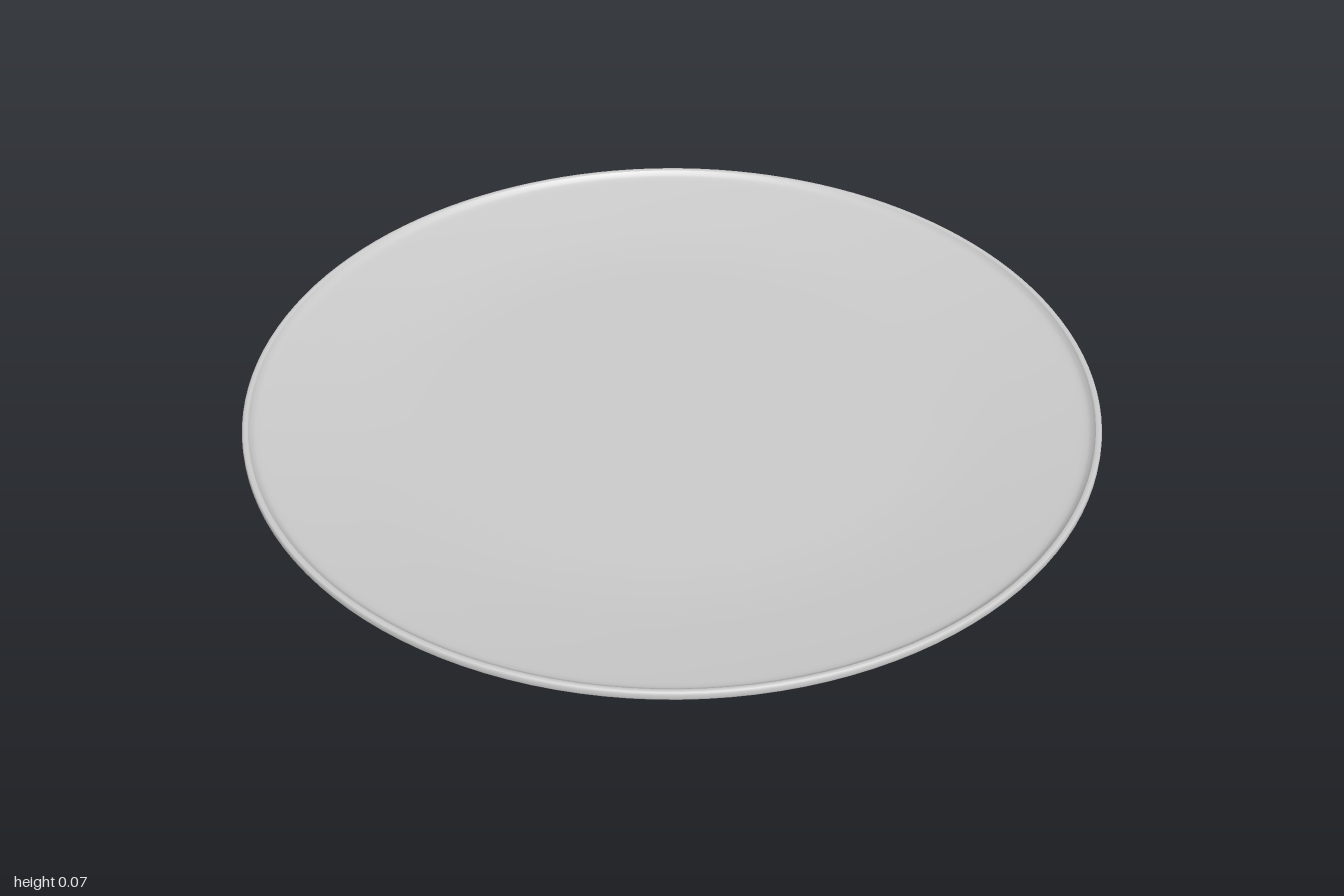
import * as THREE from 'three';
import { toCreasedNormals } from 'three/addons/utils/BufferGeometryUtils.js';

const material = new THREE.MeshStandardMaterial({ color: 0xcccccc, side: THREE.DoubleSide });
const points = (list) => list.map(([r, y]) => new THREE.Vector2(r, y));

// Turns a profile (radius, height) into a round part
function turned(name, profile, crease) {
  let geometry = new THREE.LatheGeometry(profile, 128);
  if (crease) geometry = toCreasedNormals(geometry, crease);
  const mesh = new THREE.Mesh(geometry, material);
  mesh.name = name;
  return mesh;
}

export function createModel() {
  const plate = new THREE.Group();
  plate.name = 'plate';

  // Flat base with a shallow step, then the sloping underside
  plate.add(turned('underside', points([
    [0, 0], [0.655, 0], [0.662, 0.006], [0.99, 0.05],
  ]), 0.3));

  // Upright rim with rounded edges
  plate.add(turned('rim', points([
    [0.99, 0.05], [0.998, 0.053], [1, 0.057], [1, 0.067], [0.997, 0.071], [0.991, 0.072], [0.986, 0.07],
  ])));

  // Inside: flat well, gentle rise, then the small lip
  const inside = new THREE.SplineCurve(points([
    [0.986, 0.07], [0.979, 0.063], [0.968, 0.057], [0.94, 0.052],
    [0.85, 0.04], [0.74, 0.027], [0.65, 0.02], [0.55, 0.017], [0.3, 0.017], [0, 0.017],
  ])).getPoints(45);
  plate.add(turned('eatingSurface', inside));

  return plate;
}
